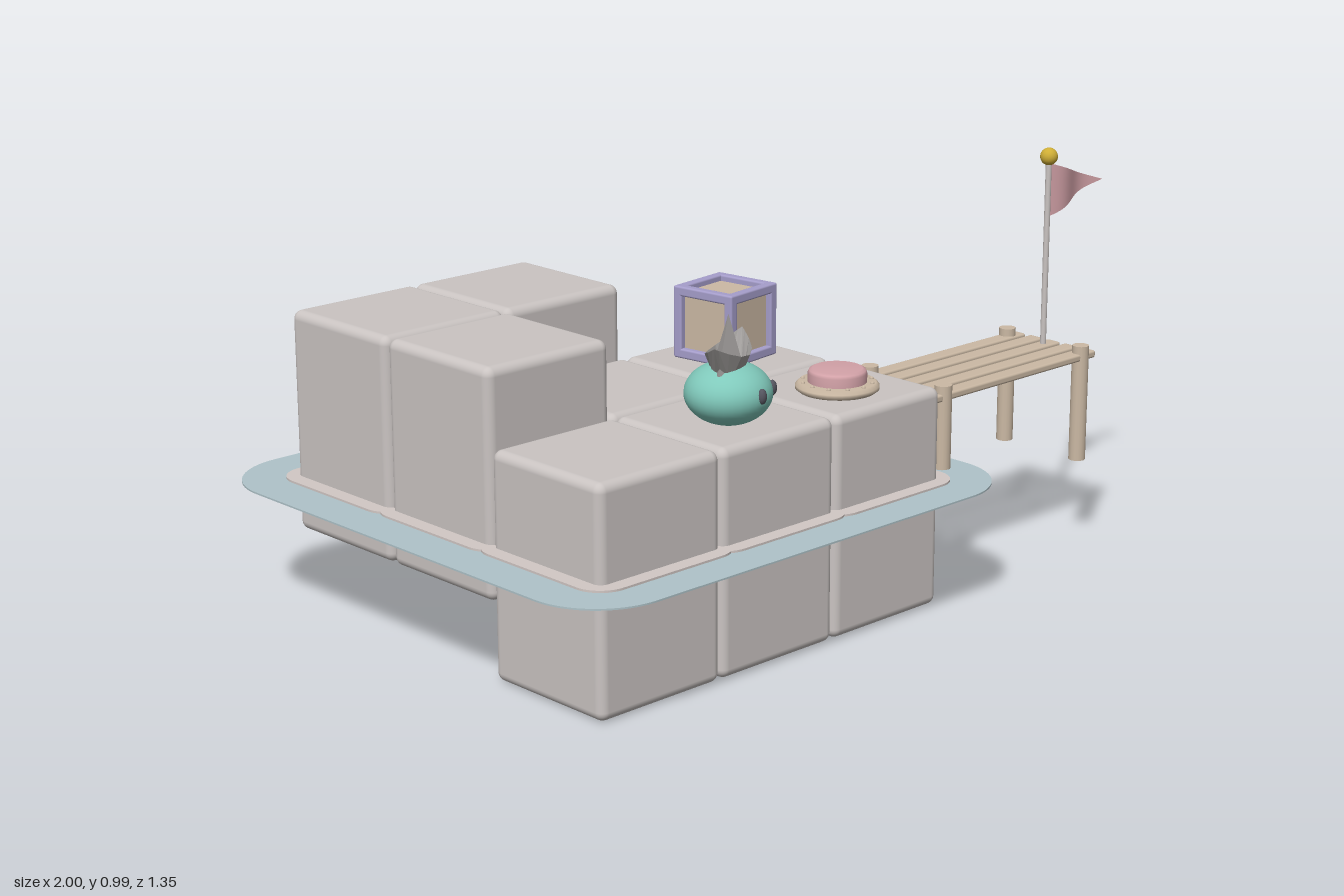
import * as THREE from 'three';
import { RoundedBoxGeometry } from 'three/addons/geometries/RoundedBoxGeometry.js';

const mat = (name, color, extra = {}) =>
  Object.assign(new THREE.MeshStandardMaterial({ color, ...extra }), { name });

export function createModel() {
  const stone = mat('stone', 0xcac4c2);
  const foamMat = mat('foam', 0xd2c8c5);
  const water = mat('water', 0xafc3c9);
  const wood = mat('wood', 0xcbb9a4);
  const pink = mat('pink', 0xd3a2a8, { side: THREE.DoubleSide });
  const purple = mat('purple', 0xa69ecb);
  const teal = mat('teal', 0x80c9bb);
  const paper = mat('greyPaper', 0xa3a09e, { side: THREE.DoubleSide, flatShading: true });
  const gold = mat('gold', 0xcfae36);
  const dark = mat('dark', 0x55555f);

  const model = new THREE.Group();
  model.name = 'blockIsland';
  const add = (parent, name, geo, material, x = 0, y = 0, z = 0) => {
    const m = new THREE.Mesh(geo, material);
    m.name = name;
    m.position.set(x, y, z);
    parent.add(m);
    return m;
  };
  const group = (name, x, y, z, yaw = 0) => {
    const g = new THREE.Group();
    g.name = name;
    g.position.set(x, y, z);
    g.rotation.y = yaw;
    model.add(g);
    return g;
  };

  // Rounded square lying flat
  const pad = (size, r, depth) => {
    const h = size / 2, s = new THREE.Shape();
    s.absarc(h - r, h - r, r, 0, Math.PI / 2);
    s.absarc(r - h, h - r, r, Math.PI / 2, Math.PI);
    s.absarc(r - h, r - h, r, Math.PI, Math.PI * 1.5);
    s.absarc(h - r, r - h, r, Math.PI * 1.5, Math.PI * 2);
    return new THREE.ExtrudeGeometry(s, { depth, bevelEnabled: false, curveSegments: 6 }).rotateX(-Math.PI / 2);
  };

  // Stone columns: [column, row, raised]; each has a foam pad at the waterline
  const xs = [-0.682, -0.325, 0.032], zs = [-0.356, 0.003, 0.36];
  const columns = [[0, 0, 1], [1, 0, 1], [0, 1, 1], [1, 1, 0], [2, 1, 0], [0, 2, 0], [1, 2, 0], [2, 2, 0]];
  const blockGeo = new RoundedBoxGeometry(0.355, 0.535, 0.355, 4, 0.022);
  const foamGeo = pad(0.43, 0.07, 0.008);
  for (const [i, j, up] of columns) {
    add(model, 'stoneColumn', blockGeo, stone, xs[i], 0.2685 + up * 0.179, zs[j]);
    add(model, 'foam', foamGeo, foamMat, xs[i], 0.306, zs[j]);
  }

  // Water sheet with rounded outer corners and one sharp inner corner
  const w = new THREE.Shape(), r = 0.18, q = Math.PI / 2;
  w.absarc(0.355 - r, -0.67 + r, r, -q, 0);
  w.absarc(0.355 - r, 0.325 - r, r, 0, q);
  w.lineTo(0, 0.325);
  w.absarc(-r, 0.68 - r, r, 0, q);
  w.absarc(-1 + r, 0.68 - r, r, q, 2 * q);
  w.absarc(-1 + r, -0.67 + r, r, 2 * q, 3 * q);
  w.closePath();
  add(model, 'water', new THREE.ExtrudeGeometry(w, { depth: 0.004, bevelEnabled: false, curveSegments: 12 })
    .rotateX(-q), water, 0, 0.305, 0);

  // Dock
  const dock = group('dock', 0, 0, 0);
  const plankGeo = new RoundedBoxGeometry(0.63, 0.019, 0.042, 2, 0.006);
  for (let i = 0; i < 5; i++) add(dock, 'plank', plankGeo, wood, 0.525, 0.486, 0.243 + i * 0.0565);
  const postGeo = new THREE.CylinderGeometry(0.021, 0.021, 0.295, 16);
  for (const x of [0.284, 0.795]) for (const z of [0.24, 0.477])
    add(dock, 'dockPost', postGeo, wood, x, 0.367, z);

  // Flag on the dock end
  const flag = group('flag', 0.795, 0, 0.357);
  add(flag, 'flagPole', new THREE.CylinderGeometry(0.0075, 0.0075, 0.48, 12), stone, 0, 0.73, 0);
  add(flag, 'poleBall', new THREE.SphereGeometry(0.022, 20, 14), gold, 0, 0.973, 0);
  const pennant = new THREE.PlaneGeometry(1, 1, 16, 4);
  const p = pennant.attributes.position;
  for (let i = 0; i < p.count; i++) {
    const t = p.getX(i) + 0.5;
    p.setXYZ(i, t * 0.2 + 0.004, 0.888 + p.getY(i) * 0.135 * (1 - t), 0.011 * Math.sin(t * 7));
  }
  pennant.computeVertexNormals();
  add(flag, 'pennant', pennant, pink);

  // Push button
  const button = group('button', 0.015, 0.537, 0.387);
  const lathe = pts => new THREE.LatheGeometry(pts.map(a => new THREE.Vector2(...a)), 36);
  add(button, 'buttonBase', lathe([[0, 0], [0.09, 0], [0.098, 0.006], [0.098, 0.014], [0.09, 0.022], [0, 0.022]]), wood);
  add(button, 'buttonCap', lathe([[0.069, 0.02], [0.069, 0.043], [0.066, 0.05], [0.058, 0.054], [0, 0.055]]), pink);
  const studGeo = new THREE.SphereGeometry(0.005, 8, 6);
  for (let i = 0; i < 12; i++) {
    const a = i * Math.PI / 6;
    add(button, 'stud', studGeo, wood, 0.083 * Math.cos(a), 0.022, 0.083 * Math.sin(a));
  }

  // Crate: recessed panels in a frame of twelve bars
  const crate = group('crate', 0.035, 0.627, -0.006, 0.13);
  add(crate, 'cratePanels', new THREE.BoxGeometry(0.148, 0.148, 0.148), wood);
  const bars = [[0.178, 0.024, 0.024], [0.024, 0.178, 0.024], [0.024, 0.024, 0.178]];
  bars.forEach((size, axis) => {
    const geo = new RoundedBoxGeometry(...size, 2, 0.005);
    for (const a of [-0.077, 0.077]) for (const b of [-0.077, 0.077]) {
      const pos = [a, b];
      pos.splice(axis, 0, 0);
      add(crate, 'crateBar', geo, purple, ...pos);
    }
  });

  // Round creature
  const creature = group('creature', -0.36, 0.612, 0.41, 0.49);
  add(creature, 'body', new THREE.SphereGeometry(0.1, 32, 24), teal).scale.y = 0.72;
  for (const s of [-1, 1])
    add(creature, 'eye', new THREE.SphereGeometry(0.012, 14, 10), dark, s * 0.038, 0.008, 0.09).scale.set(1, 1.5, 0.9);

  // Folded paper hat: upturned boat brim around a peak
  const ring = 16, pos = [], idx = [];
  for (let i = 0; i <= ring; i++) {
    const t = i / ring * Math.PI * 2, c = Math.cos(t), s = Math.sin(t);
    pos.push(0.055 * c, 0.055, 0.036 * s, 0.102 * c, 0.09 + 0.035 * c * c, 0.05 * s * Math.abs(s));
    if (i < ring) idx.push(2 * i, 2 * i + 1, 2 * i + 2, 2 * i + 1, 2 * i + 3, 2 * i + 2);
  }
  const brim = new THREE.BufferGeometry();
  brim.setAttribute('position', new THREE.Float32BufferAttribute(pos, 3));
  brim.setIndex(idx);
  brim.computeVertexNormals();
  add(creature, 'hatBrim', brim, paper);
  add(creature, 'hatPeak', new THREE.ConeGeometry(0.075, 0.125, 4), paper, 0, 0.117, 0).scale.z = 0.5;

  return model;
}
